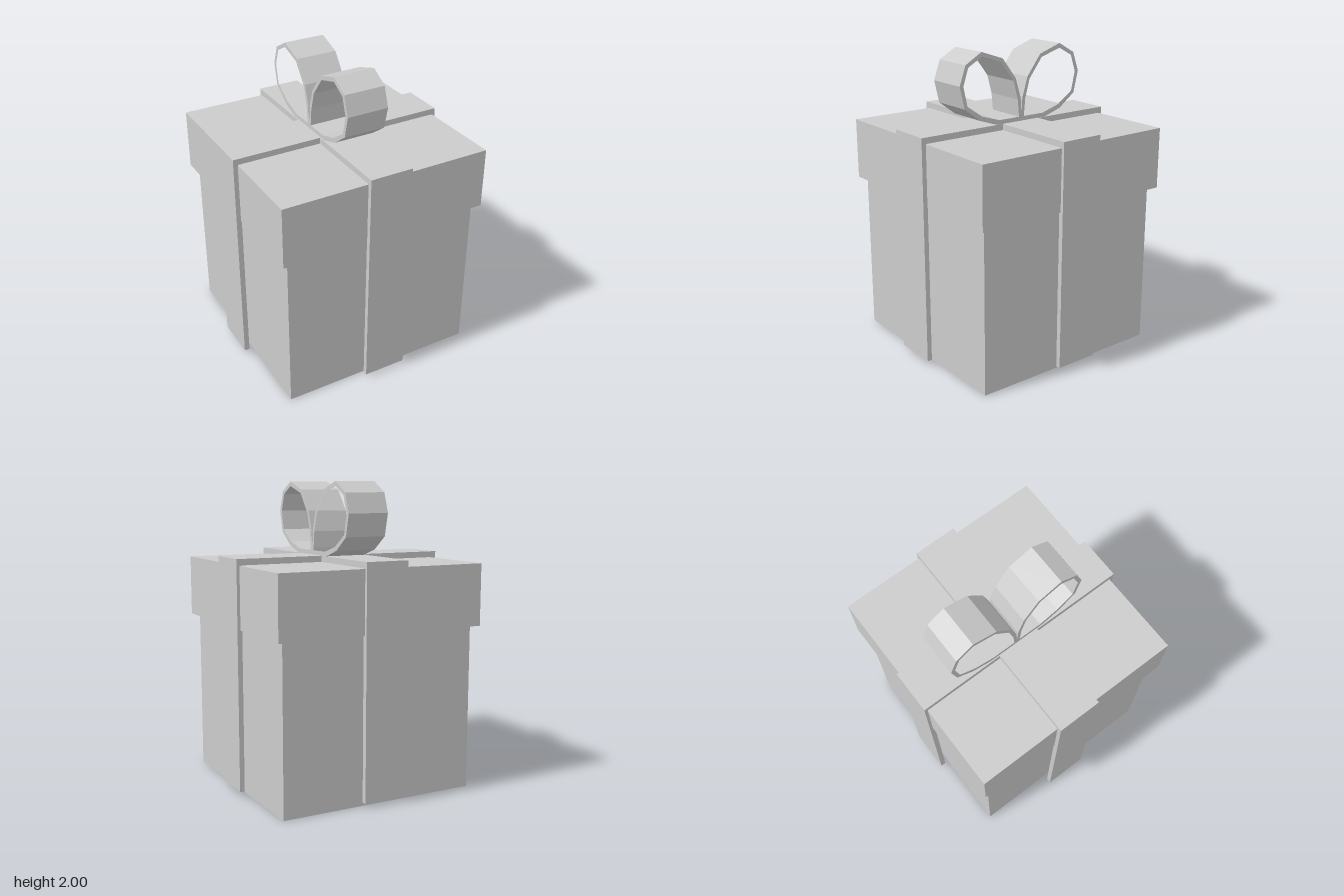
import * as THREE from 'three';

const material = new THREE.MeshStandardMaterial({ color: 0xcccccc, flatShading: true });

function add(group, name, geometry) {
  const mesh = new THREE.Mesh(geometry, material);
  mesh.name = name;
  group.add(mesh);
  return mesh;
}

// Box given by its extents on each axis
function block(group, name, [x0, x1], [y0, y1], [z0, z1]) {
  const mesh = add(group, name, new THREE.BoxGeometry(x1 - x0, y1 - y0, z1 - z0));
  mesh.position.set((x0 + x1) / 2, (y0 + y1) / 2, (z0 + z1) / 2);
}

// Extrudes a (z, y) profile along x, from x0 to x1
function extrudeAlongX(shape, x0, x1) {
  const geometry = new THREE.ExtrudeGeometry(shape, { depth: x1 - x0, bevelEnabled: false });
  return geometry.rotateY(-Math.PI / 2).translate(x1, 0, 0);
}

const toPoints = (list) => list.map(([a, b]) => new THREE.Vector2(a, b));

// Folded ribbon: over the lid and down both sides, hanging clear of the box
function ribbonShape() {
  return new THREE.Shape(toPoints([
    [-0.74, 0.035], [-0.705, 0.035], [-0.705, 1.485], [0.71, 1.485],
    [0.71, 0.035], [0.742, 0.035], [0.742, 1.525], [-0.74, 1.525],
  ]));
}

// One bow loop; side mirrors it about the knot line
function bowLoopShape(side) {
  const knotZ = -0.03;
  const place = (list) => toPoints(list.map(([d, y]) => [knotZ + side * d, y]));
  const shape = new THREE.Shape(place([
    [0, 1.522], [0.19, 1.522], [0.33, 1.568], [0.45, 1.657], [0.485, 1.803],
    [0.44, 1.93], [0.318, 2], [0.153, 1.945], [0.048, 1.808], [0.007, 1.675], [0, 1.57],
  ]));
  shape.holes.push(new THREE.Path(place([
    [0.02, 1.553], [0.18, 1.553], [0.313, 1.593], [0.428, 1.672], [0.457, 1.8],
    [0.419, 1.913], [0.318, 1.969], [0.166, 1.923], [0.066, 1.793], [0.031, 1.668],
  ])));
  return shape;
}

export function createModel() {
  const gift = new THREE.Group();
  gift.name = 'giftBox';

  // Box and lid
  block(gift, 'box', [-0.665, 0.677], [0, 1.09], [-0.675, 0.67]);
  block(gift, 'lid', [-0.71, 0.722], [1.08, 1.483], [-0.72, 0.712]);

  // Crossing ribbons
  add(gift, 'frontToBackRibbon', extrudeAlongX(ribbonShape(), -0.14, 0.15));
  const cross = add(gift, 'sideToSideRibbon', extrudeAlongX(ribbonShape(), -0.125, 0.168));
  cross.rotation.y = Math.PI / 2;

  // Bow
  const bow = new THREE.Group();
  bow.name = 'bow';
  for (const [name, side] of [['frontLoop', 1], ['backLoop', -1]]) {
    add(bow, name, extrudeAlongX(bowLoopShape(side), -0.133, 0.147));
  }
  gift.add(bow);
  return gift;
}
